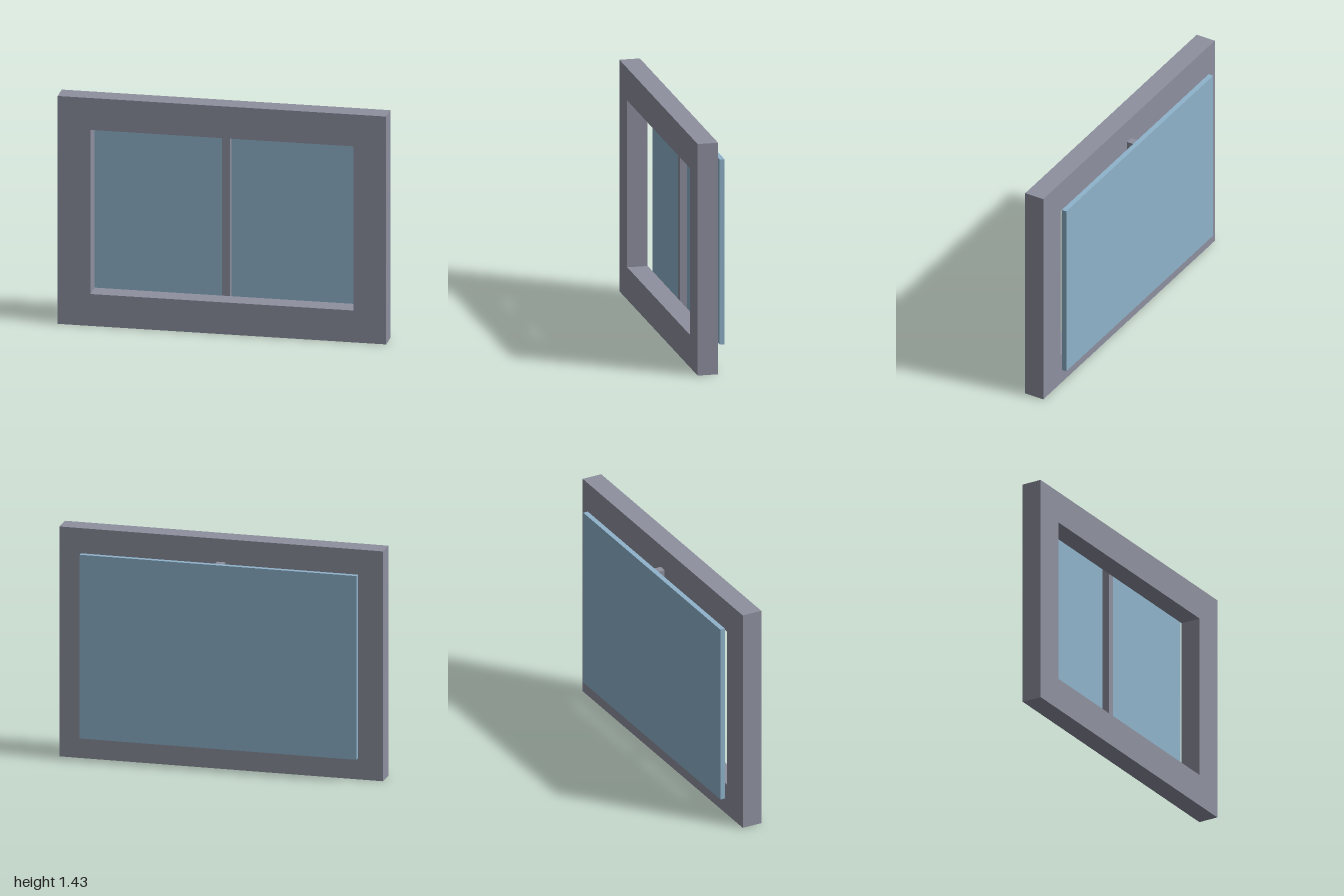
import * as THREE from 'three';

export function createModel() {
  const group = new THREE.Group();
  group.name = 'window';

  const frameGrey = new THREE.MeshStandardMaterial({ name: 'frameGrey', color: 0x8e909f });
  const glassBlue = new THREE.MeshStandardMaterial({ name: 'glassBlue', color: 0x8fb3cb });

  // Clockwise rectangle points as a path
  const rect = (path, x, y0, y1) =>
    path.moveTo(-x, y0).lineTo(x, y0).lineTo(x, y1).lineTo(-x, y1).closePath();

  // Outer frame: one slab with a rectangular opening
  const outline = new THREE.Shape();
  rect(outline, 1, 0, 1.43);
  const opening = new THREE.Path();
  rect(opening, 0.8, 0.2, 1.23);
  outline.holes.push(opening);
  const frame = new THREE.Mesh(
    new THREE.ExtrudeGeometry(outline, { depth: 0.126, bevelEnabled: false }),
    frameGrey
  );
  frame.name = 'frame';
  frame.position.z = -0.026;
  group.add(frame);

  const addBox = (name, material, width, height, z0, z1) => {
    const mesh = new THREE.Mesh(new THREE.BoxGeometry(width, height, z1 - z0), material);
    mesh.name = name;
    mesh.position.set(0, 0.715, (z0 + z1) / 2);
    group.add(mesh);
  };

  // Upright bar behind the frame, and the single pane behind it
  addBox('centreBar', frameGrey, 0.05, 1.143, -0.069, -0.026);
  addBox('glassPane', glassBlue, 1.714, 1.143, -0.1, -0.069);

  return group;
}
